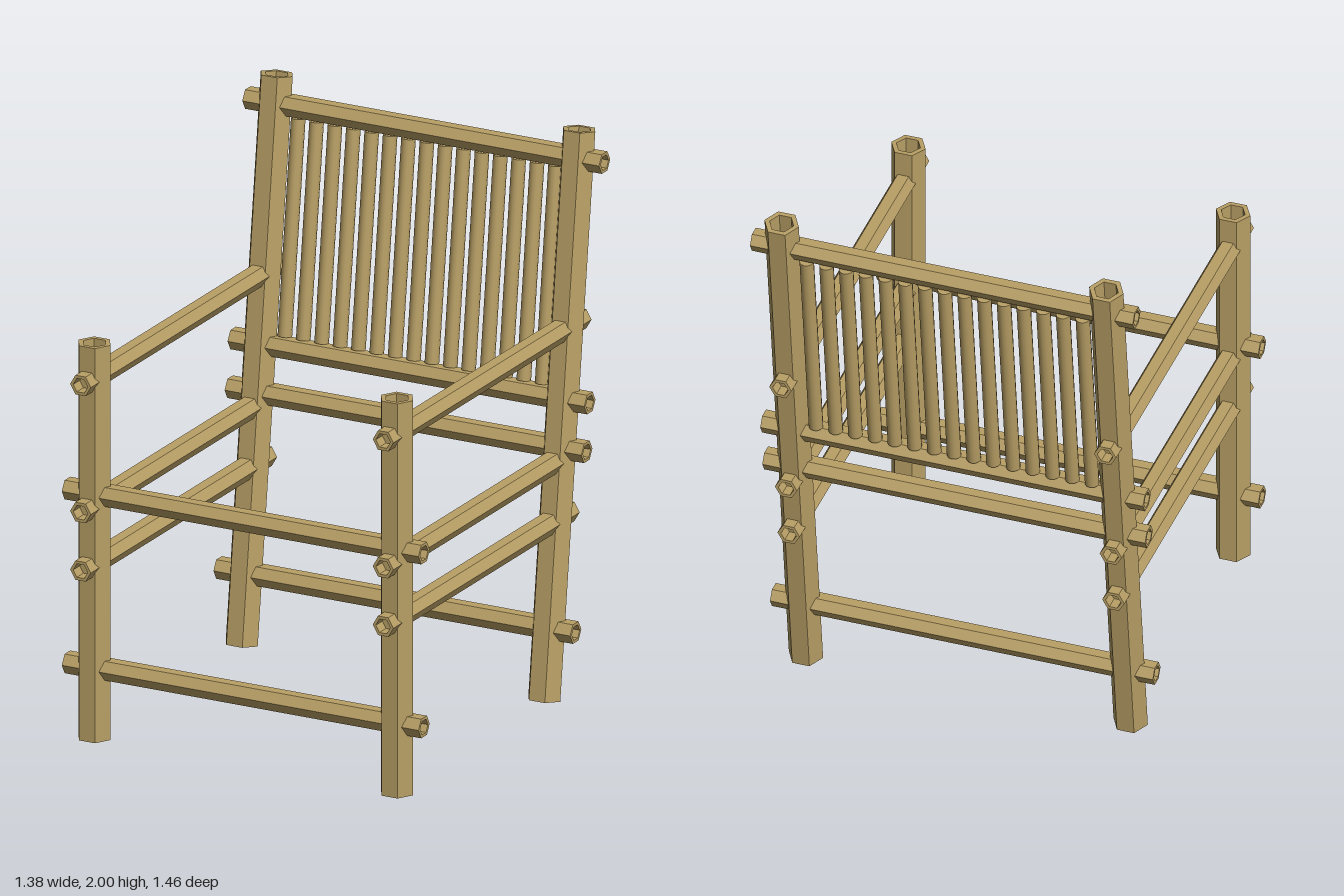
import * as THREE from 'three';

export function createModel() {
  const bamboo = new THREE.MeshStandardMaterial({ color: 0xb89f65 });
  bamboo.name = 'bamboo tan';
  const chair = new THREE.Group();
  chair.name = 'bambooChair';

  const LEG_X = 0.587, FRONT_Z = 0.63, LEAN = 0.1255;
  // z of the leaning back frame at a given height
  const backZ = (y) => -0.55 - Math.tan(LEAN) * (y - 1);

  // Hollow six-sided pole along y, centred, corners on the x axis
  function pole(radius, length) {
    const inner = radius * 0.7, h = length / 2;
    const ring = [[radius, -h], [radius, h], [inner, h], [inner, -h], [radius, -h]]
      .map(([x, y]) => new THREE.Vector2(x, y));
    const geo = new THREE.LatheGeometry(ring, 6, Math.PI / 6).toNonIndexed();
    geo.computeVertexNormals(); // flat facets
    return geo;
  }

  function add(name, geo, x, y, z) {
    const mesh = new THREE.Mesh(geo, bamboo);
    mesh.name = name;
    mesh.position.set(x, y, z);
    chair.add(mesh);
    return mesh;
  }

  // Legs and side rails, mirrored
  const frontLegGeo = pole(0.062, 1.43);
  const backLegGeo = pole(0.062, 2.002);
  for (const [side, s] of [['left', 1], ['right', -1]]) {
    add(side + 'FrontLeg', frontLegGeo, s * LEG_X, 0.715, FRONT_Z);
    add(side + 'BackLeg', backLegGeo, s * LEG_X, 1, -0.55).rotation.x = -LEAN;

    for (const [name, y] of [['Armrest', 1.305], ['SeatRail', 0.845], ['LowerRail', 0.633]]) {
      const front = FRONT_Z + 0.1, back = backZ(y) - 0.1;
      const geo = pole(0.04, front - back).rotateX(Math.PI / 2);
      add(side + name, geo, s * LEG_X, y, (front + back) / 2);
    }
  }

  // Cross rails, corners facing front and back
  const crossGeo = pole(0.04, 1.384).rotateY(Math.PI / 2).rotateZ(Math.PI / 2);
  add('frontSeatRail', crossGeo, 0, 0.885, FRONT_Z);
  add('frontStretcher', crossGeo, 0, 0.255, FRONT_Z);
  for (const [name, y] of [['backStretcher', 0.255], ['backSeatRail', 0.885],
    ['lowerBackRail', 1.055], ['topBackRail', 1.893]]) {
    add(name, crossGeo, 0, y, backZ(y));
  }

  // Round slats filling the backrest
  const slatGeo = new THREE.CylinderGeometry(0.025, 0.025, 0.766, 12);
  for (let i = -7; i <= 7; i++) {
    add('backSlat', slatGeo, i * 0.0713, 1.47, backZ(1.47) - 0.01).rotation.x = -LEAN;
  }
  return chair;
}
